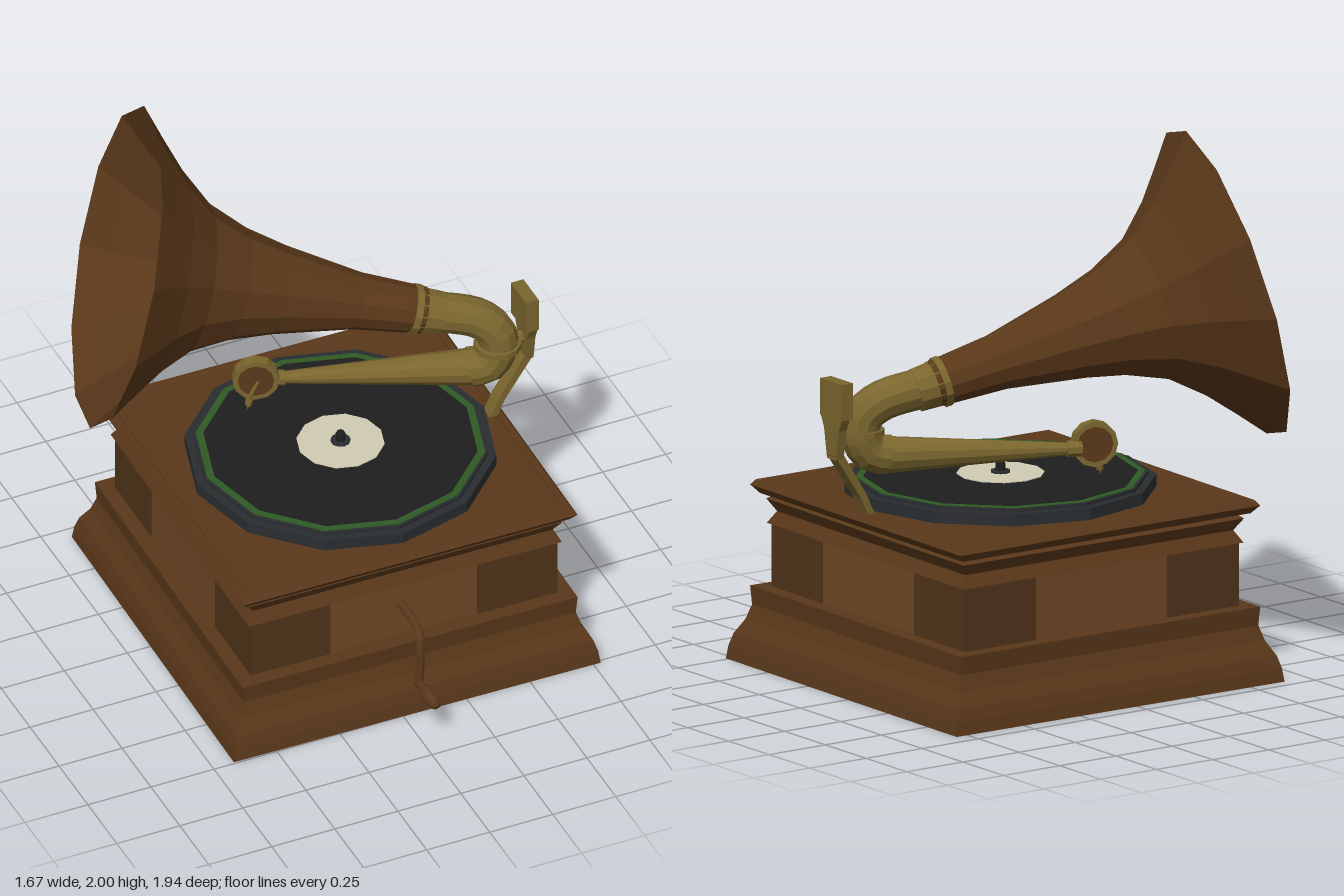
import * as THREE from 'three';

const mat = (color) => new THREE.MeshStandardMaterial({ color, flatShading: true, side: THREE.DoubleSide });
const V = (x, y, z) => new THREE.Vector3(x, y, z);
const pts = (list) => list.map(([x, y]) => new THREE.Vector2(x, y));

export function createModel() {
  const model = new THREE.Group();
  model.name = 'gramophone';
  const wood = mat(0x5a381a), darkWood = mat(0x50341a), panelWood = mat(0x6e4824);
  const brass = mat(0x7a662e), platterMat = mat(0x2a2d30), vinyl = mat(0x1e1e1e);
  const green = mat(0x2f5a26), paper = mat(0xd0ccb4);

  const add = (name, geo, material, parent = model) => {
    const mesh = new THREE.Mesh(geo, material);
    mesh.name = name;
    parent.add(mesh);
    return mesh;
  };
  // Square moulding: half-width / height profile swept round four sides
  const square = (profile) => new THREE.LatheGeometry(
    pts(profile.map(([w, y]) => [w * Math.SQRT2, y])), 4, Math.PI / 4);
  // Tapered round rod between two points
  const rod = (name, a, b, ra, rb, material, sides = 12) => {
    const d = b.clone().sub(a);
    const mesh = add(name, new THREE.CylinderGeometry(rb, ra, d.length(), sides), material);
    mesh.position.copy(a).lerp(b, 0.5);
    mesh.quaternion.setFromUnitVectors(V(0, 1, 0), d.normalize());
    return mesh;
  };

  // Cabinet
  const cabinet = new THREE.Group();
  cabinet.name = 'cabinet';
  cabinet.position.set(0.065, 0, 0.03);
  cabinet.rotation.y = -0.014;
  model.add(cabinet);
  add('plinth', square([[0, 0], [0.723, 0], [0.716, 0.05], [0.703, 0.095], [0.672, 0.15],
    [0.655, 0.205], [0.66, 0.275], [0, 0.275]]), wood, cabinet);
  add('sidePanels', new THREE.BoxGeometry(1.196, 0.24, 1.196), panelWood, cabinet).position.y = 0.393;
  for (const sx of [-1, 1]) for (const sz of [-1, 1]) {
    add('cornerBlock', new THREE.BoxGeometry(0.315, 0.24, 0.315), darkWood, cabinet)
      .position.set(sx * 0.4475, 0.393, sz * 0.4475);
  }
  add('topMoulding', square([[0, 0.51], [0.617, 0.51], [0.59, 0.555], [0.618, 0.6], [0.603, 0.612],
    [0.635, 0.62], [0.66, 0.65], [0.645, 0.67], [0.628, 0.67], [0.623, 0.665], [0.618, 0.67], [0, 0.67]]), wood, cabinet);

  // Turntable and record
  const turntable = new THREE.Group();
  turntable.name = 'turntable';
  turntable.position.set(0.075, 0, 0.045);
  turntable.rotation.y = -0.014;
  model.add(turntable);
  const disc = (name, r, y0, y1, material, sides = 12) =>
    add(name, new THREE.CylinderGeometry(r, r, y1 - y0, sides), material, turntable).position.y = (y0 + y1) / 2;
  disc('platter', 0.565, 0.668, 0.714, platterMat);
  disc('recordEdge', 0.535, 0.714, 0.727, platterMat);
  disc('greenBand', 0.525, 0.726, 0.729, green);
  disc('record', 0.497, 0.727, 0.731, vinyl);
  disc('label', 0.16, 0.73, 0.734, paper);
  disc('spindleBase', 0.036, 0.732, 0.742, platterMat, 10);
  add('spindle', new THREE.LatheGeometry(pts([[0.019, 0.73], [0.019, 0.765], [0.012, 0.778], [0, 0.781]]), 8),
    vinyl, turntable);

  // Winding crank
  const crankPath = new THREE.CatmullRomCurve3([V(0.045, 0.415, 0.62), V(0.045, 0.415, 0.75),
    V(0.043, 0.39, 0.797), V(0.041, 0.33, 0.813), V(0.036, 0.18, 0.812)]);
  add('crank', new THREE.TubeGeometry(crankPath, 14, 0.017, 8), wood);
  const handle = add('crankHandle', new THREE.LatheGeometry(pts([[0, 0], [0.02, 0], [0.016, 0.04], [0.018, 0.055],
    [0.026, 0.075], [0.027, 0.12], [0.02, 0.16], [0, 0.17]]), 8), wood);
  handle.rotation.x = Math.PI / 2;
  handle.position.set(0.036, 0.185, 0.797);

  // Horn: twelve-sided flare along a straight axis, measured back from the mouth
  const mouth = V(-0.605, 1.43, -0.405);
  const axis = V(-0.919, 0.257, -0.30).normalize();
  const up = V(-0.185, 0, 0.565);
  up.addScaledVector(axis, -up.dot(axis)).normalize();
  const along = (s) => mouth.clone().addScaledVector(axis, -s);
  const horn = add('horn', new THREE.LatheGeometry(pts([[0.086, -1.15], [0.105, -0.9], [0.163, -0.61],
    [0.207, -0.45], [0.275, -0.3], [0.382, -0.18], [0.485, -0.09], [0.593, 0]]), 12), wood);
  horn.quaternion.setFromRotationMatrix(new THREE.Matrix4().makeBasis(axis.clone().cross(up), axis, up));
  horn.position.copy(mouth);
  rod('hornSleeve', along(1.22), along(1.12), 0.079, 0.086, brass);
  rod('hornCollar', along(1.13), along(1.105), 0.094, 0.094, brass);

  // Elbow joining horn and tone arm
  const elbowPath = new THREE.CatmullRomCurve3([V(0.6, 0.881, 0.015), V(0.66, 0.895, 0.037), V(0.7, 0.965, 0.045),
    V(0.69, 1.035, 0.037), V(0.635, 1.087, 0.006), along(1.17)]);
  add('elbow', new THREE.TubeGeometry(elbowPath, 14, 0.074, 12), brass);
  add('elbowCollar', new THREE.CylinderGeometry(0.087, 0.087, 0.022, 12), brass).position.set(0.698, 0.975, 0.045);

  // Tone arm
  rod('toneArm', V(-0.04, 0.86, -0.238), V(0.63, 0.882, 0.025), 0.022, 0.07, brass);
  rod('toneArmTip', V(-0.07, 0.86, -0.25), V(-0.02, 0.86, -0.23), 0.03, 0.03, brass, 8);

  // Sound box with diaphragm and needle
  const soundBox = new THREE.Group();
  soundBox.name = 'soundBox';
  soundBox.position.set(-0.122, 0.873, -0.258);
  soundBox.rotation.y = -0.39;
  model.add(soundBox);
  const shell = add('soundBoxShell', new THREE.CylinderGeometry(0.085, 0.085, 0.042, 12), brass, soundBox);
  const diaphragm = add('diaphragm', new THREE.CylinderGeometry(0.066, 0.066, 0.046, 12), wood, soundBox);
  shell.rotation.x = diaphragm.rotation.x = Math.PI / 2;
  rod('needleLever', V(-0.13, 0.875, -0.225), V(-0.16, 0.79, -0.243), 0.006, 0.009, brass, 6);
  rod('needleHolder', V(-0.152, 0.795, -0.245), V(-0.158, 0.768, -0.245), 0.015, 0.013, brass, 6);
  rod('needle', V(-0.157, 0.77, -0.245), V(-0.162, 0.75, -0.245), 0.007, 0.001, brass, 6);

  // Rear support bracket: bent strip and tapered plate
  const strip = new THREE.Shape(pts([[0.65, 0.66], [0.685, 0.67], [0.715, 0.735], [0.83, 0.905], [0.83, 1.0],
    [0.805, 1.0], [0.795, 0.91], [0.69, 0.745]]));
  add('bracketStrip', new THREE.ExtrudeGeometry(strip, { depth: 0.054, bevelEnabled: false }), brass)
    .position.z = 0.018;
  const neck = new THREE.Shape(pts([[-0.027, 0.89], [0.027, 0.89], [0.045, 1.0], [0.067, 1.05], [-0.067, 1.05],
    [-0.045, 1.0]]));
  const neckMesh = add('bracketNeck', new THREE.ExtrudeGeometry(neck, { depth: 0.035, bevelEnabled: false }), brass);
  neckMesh.rotation.y = Math.PI / 2;
  neckMesh.position.set(0.793, 0, 0.045);
  add('bracketPlate', new THREE.BoxGeometry(0.05, 0.135, 0.134), brass).position.set(0.806, 1.112, 0.045);
  rod('bracketPin', V(0.72, 0.98, 0.045), V(0.81, 0.98, 0.045), 0.025, 0.025, brass, 8);

  return model;
}
